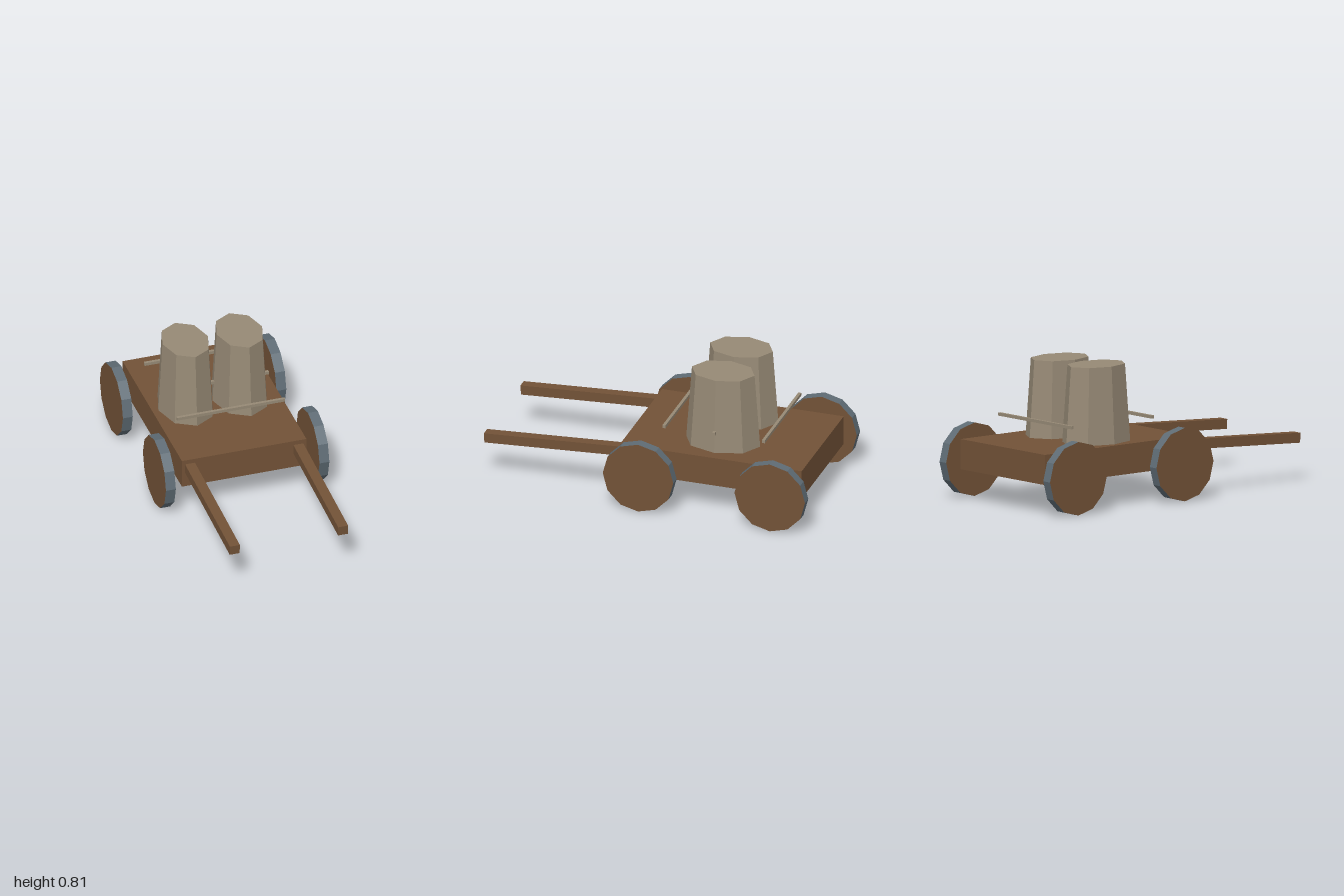
import * as THREE from 'three';

const timber = new THREE.MeshStandardMaterial({ color: 0x725237, side: THREE.DoubleSide, flatShading: true });
timber.name = 'timber';
const barrelWood = new THREE.MeshStandardMaterial({ color: 0x968975, flatShading: true });
barrelWood.name = 'paleWood';
const iron = new THREE.MeshStandardMaterial({ color: 0x5f6c75, flatShading: true });
iron.name = 'iron';

function add(parent, name, geometry, material, x, y, z) {
  const mesh = new THREE.Mesh(geometry, material);
  mesh.name = name;
  mesh.position.set(x, y, z);
  parent.add(mesh);
  return mesh;
}

export function createModel() {
  const cart = new THREE.Group();
  cart.name = 'cart';

  // Shallow bed, open underneath: drop the bottom face of a box
  const bed = new THREE.BoxGeometry(0.754, 0.176, 1.105);
  const index = Array.from(bed.index.array);
  index.splice(18, 6);
  bed.setIndex(index);
  bed.clearGroups();
  add(cart, 'bed', bed, timber, 0, 0.267, -0.3875);

  // Pull shafts sloping down to the front, and iron runners inside the bed
  const slope = 0.056, backZ = 0.12, frontZ = 1;
  const length = (frontZ - backZ) / Math.cos(slope);
  const midZ = (frontZ + backZ) / 2;
  for (const side of [-1, 1]) {
    const shaft = add(cart, side > 0 ? 'leftShaft' : 'rightShaft',
      new THREE.BoxGeometry(0.06, 0.058, length), timber,
      side * 0.328, 0.253 + (frontZ - midZ) * slope, midZ - 0.002);
    shaft.rotation.x = slope;
    add(cart, side > 0 ? 'leftRunner' : 'rightRunner',
      new THREE.BoxGeometry(0.035, 0.035, 1.04), iron, side * 0.352, 0.333, -0.41);
  }

  // Twelve-sided wheels: iron rim, timber faces
  const wheelGeometry = new THREE.CylinderGeometry(0.2145, 0.2145, 0.06, 12);
  for (const [end, z] of [['front', 0.0155], ['rear', -0.7855]]) {
    for (const side of [-1, 1]) {
      const wheel = add(cart, end + (side > 0 ? 'LeftWheel' : 'RightWheel'),
        wheelGeometry, [iron, timber, timber], side * 0.465, 0.2145, z);
      wheel.rotation.z = Math.PI / 2;
    }
  }

  // Oval eight-sided tapered barrels
  for (const [name, x] of [['rightBarrel', -0.178], ['leftBarrel', 0.15]]) {
    const barrel = add(cart, name, new THREE.CylinderGeometry(0.138, 0.163, 0.452, 8),
      barrelWood, x, 0.579, -0.386);
    barrel.scale.z = 1.38;
  }

  // Cross rods above the bed
  for (const [name, z] of [['frontRod', -0.085], ['middleRod', -0.386], ['rearRod', -0.69]]) {
    add(cart, name, new THREE.BoxGeometry(0.654, 0.018, 0.018), barrelWood, 0, 0.482, z);
  }

  return cart;
}
